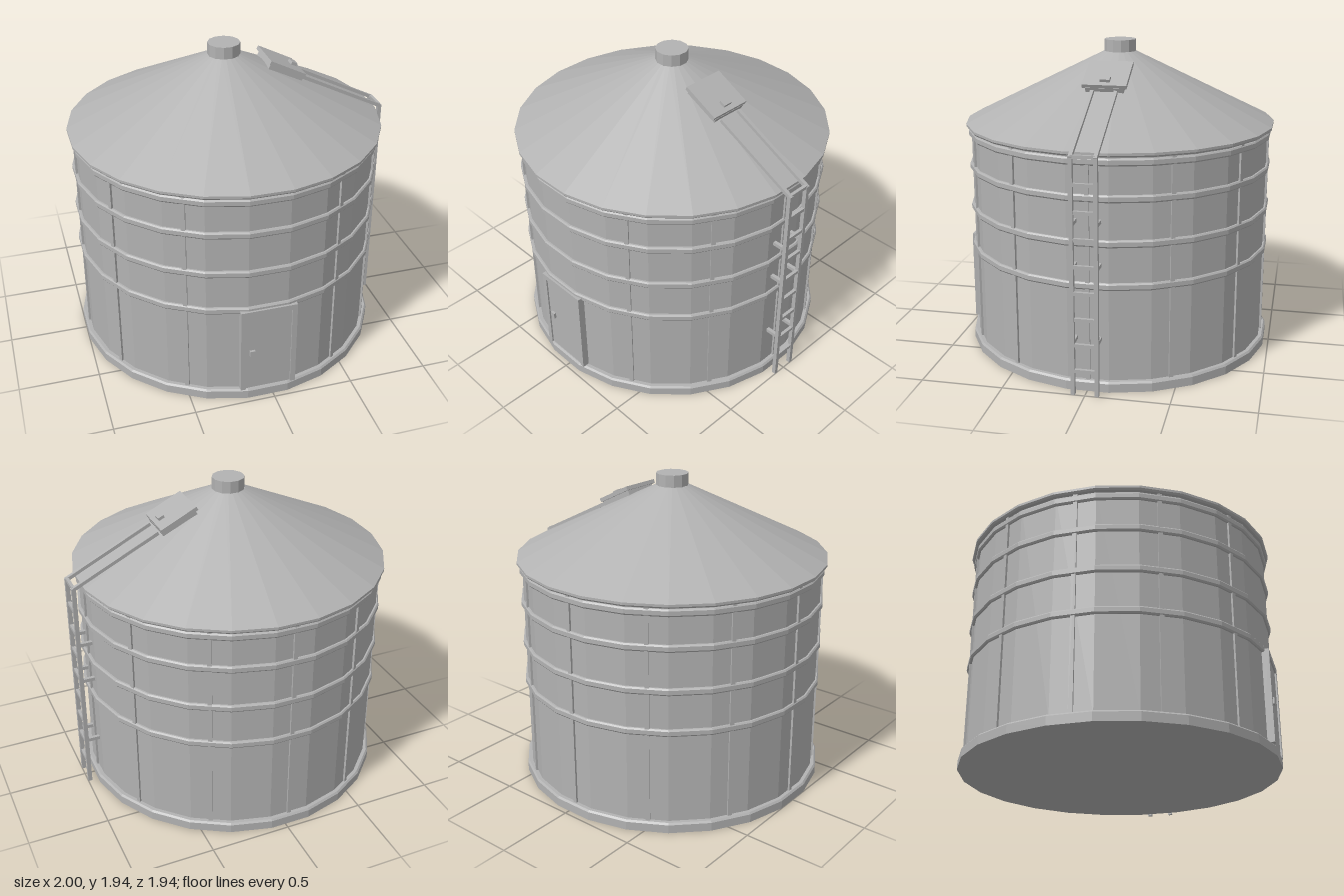
import * as THREE from 'three';

const SIDES = 24;
const CX = -0.033; // tank axis, shifted so the ladder fits the footprint
const FLAT = 1 / Math.cos(Math.PI / SIDES); // apothem to corner radius
const steel = new THREE.MeshStandardMaterial({ color: 0xb2b2b2, flatShading: true });
steel.name = 'galvanised steel';

function add(parent, name, geometry, x = 0, y = 0, z = 0) {
  const mesh = new THREE.Mesh(geometry, steel);
  mesh.name = name;
  mesh.position.set(x, y, z);
  parent.add(mesh);
  return mesh;
}

const box = (parent, name, w, h, d, x, y, z) =>
  add(parent, name, new THREE.BoxGeometry(w, h, d), x, y, z);

// Faceted ring or shell; profile is [apothem, y] from bottom to top
function facetedLathe(parent, name, profile) {
  const points = profile.map(([r, y]) => new THREE.Vector2(r * FLAT, y));
  return add(parent, name, new THREE.LatheGeometry(points, SIDES, Math.PI / SIDES));
}

export function createModel() {
  const model = new THREE.Group();
  model.name = 'storageTank';
  const tank = new THREE.Group();
  tank.name = 'tank';
  tank.position.x = CX;
  model.add(tank);

  // Shell, base and roof
  facetedLathe(tank, 'wall', [[0.935, 0.05], [0.935, 1.42]]);
  facetedLathe(tank, 'base', [[0, 0], [0.967, 0], [0.967, 0.053], [0.957, 0.064], [0.93, 0.064]]);
  facetedLathe(tank, 'roof', [[0.93, 1.41], [0.958, 1.41], [0.967, 1.42], [0.967, 1.435], [0.098, 1.866], [0, 1.866]]);
  const cap = add(tank, 'roofCap', new THREE.CylinderGeometry(0.1, 0.1, 0.08, 12), 0, 1.9, 0);
  cap.rotation.y = Math.PI / 12;

  // Horizontal hoops
  for (const y of [0.648, 0.905, 1.168, 1.378]) {
    facetedLathe(tank, 'hoop', [
      [0.934, y - 0.022], [0.945, y - 0.022], [0.952, y - 0.013],
      [0.952, y + 0.013], [0.945, y + 0.022], [0.934, y + 0.022],
    ]);
  }

  // Vertical ribs every 30 degrees, none above the door
  for (let i = 1; i < 12; i++) {
    const a = (i * Math.PI) / 6;
    const rib = box(tank, 'rib', 0.026, 1.36, 0.02, Math.sin(a) * 0.938, 0.735, Math.cos(a) * 0.938);
    rib.rotation.y = a;
  }

  // Door
  const door = new THREE.Group();
  door.name = 'door';
  tank.add(door);
  box(door, 'doorPanel', 0.29, 0.55, 0.05, 0, 0.345, 0.93);
  for (const s of [-1, 1]) box(door, 'doorJamb', 0.032, 0.58, 0.07, s * 0.158, 0.358, 0.93);
  box(door, 'doorLintel', 0.348, 0.036, 0.07, 0, 0.63, 0.93);
  box(door, 'doorHandle', 0.032, 0.04, 0.022, -0.102, 0.338, 0.96);

  // Roof hatch lying on the slope
  const slope = Math.atan((1.866 - 1.435) / (0.967 - 0.098));
  const roofY = (x) => 1.435 + Math.tan(slope) * (0.967 - (x - CX));
  const hatch = new THREE.Group();
  hatch.name = 'roofHatch';
  hatch.position.set(0.32, roofY(0.32), 0);
  hatch.rotation.z = -slope;
  model.add(hatch);
  box(hatch, 'hatchFrame', 0.24, 0.05, 0.23, 0.008, 0, 0);
  box(hatch, 'hatchLid', 0.252, 0.024, 0.268, 0, 0.034, 0);
  box(hatch, 'hatchHandle', 0.04, 0.02, 0.06, 0.075, 0.054, 0);

  // Ladder: wall rails, roof rails, brackets and rungs
  const ladder = new THREE.Group();
  ladder.name = 'ladder';
  model.add(ladder);
  for (const s of [-1, 1]) {
    const z = s * 0.071;
    box(ladder, 'ladderRail', 0.026, 1.425, 0.024, 0.987, 0.7125, z);
    const x = 0.724;
    const roofRail = box(ladder, 'roofRail', 0.61, 0.022, 0.022, x, roofY(x) + 0.011, z);
    roofRail.rotation.z = -slope;
    for (const y of [0.325, 0.777, 1.035]) box(ladder, 'wallBracket', 0.09, 0.022, 0.022, 0.935, y, z);
  }
  for (let i = 0; i < 9; i++) box(ladder, 'rung', 0.02, 0.02, 0.14, 0.987, 0.15 + i * 0.159, 0);

  return model;
}
